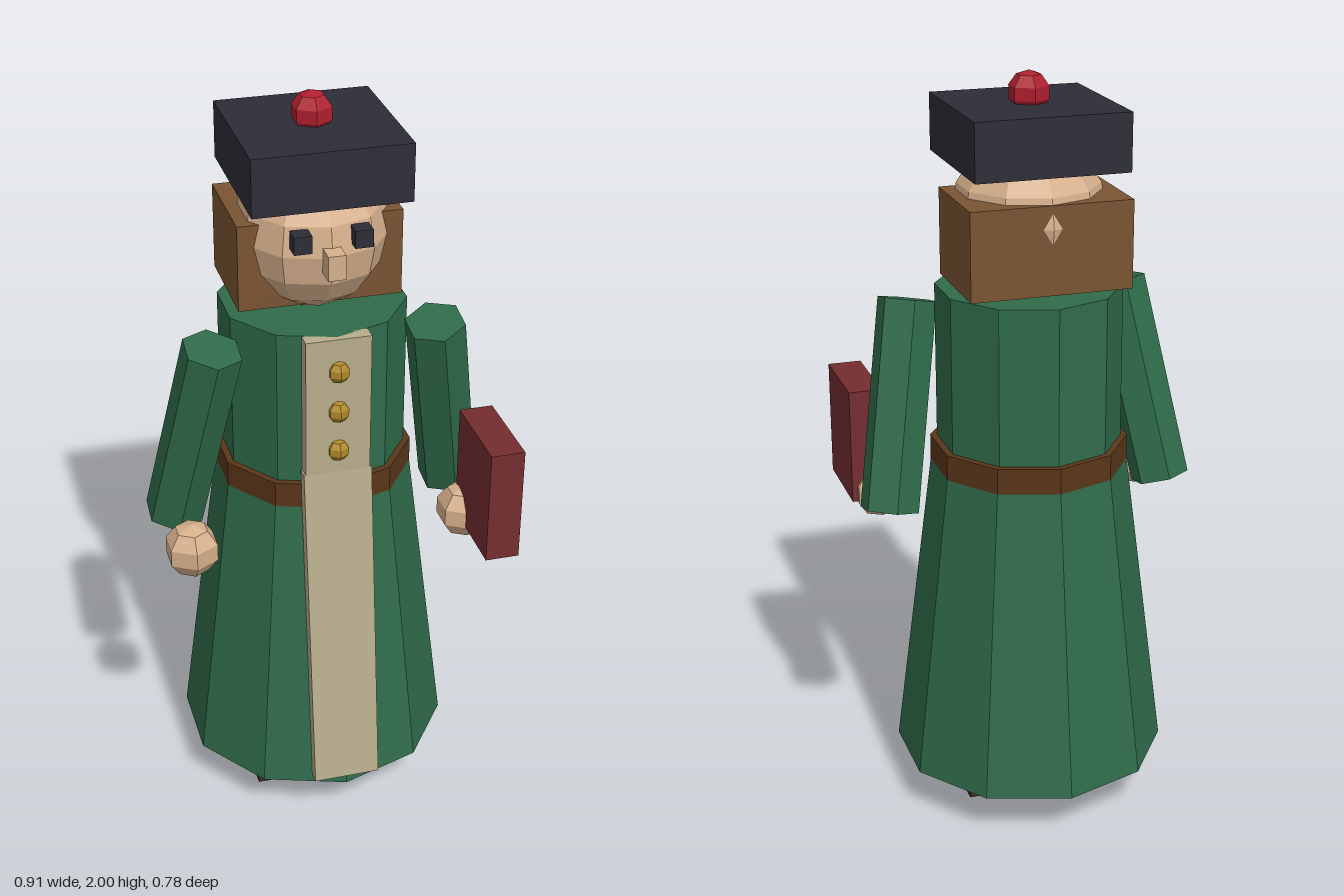
import * as THREE from 'three';

const mat = (name, color) => {
  const m = new THREE.MeshStandardMaterial({ color, flatShading: true });
  m.name = name;
  return m;
};

export function createModel() {
  const green = mat('green cloth', 0x2f6b4a);
  const cream = mat('cream trim', 0xb8ad8c);
  const beltBrown = mat('belt leather', 0x5a3619);
  const shoeBrown = mat('shoe leather', 0x3d2b22);
  const skin = mat('skin', 0xd6b08c);
  const hairBrown = mat('hair', 0x7a5432);
  const dark = mat('dark felt', 0x2d2d37);
  const red = mat('red knob', 0xb01e2e);
  const bookRed = mat('book cover', 0x752d30);
  const gold = mat('gold', 0xb08a26);

  const model = new THREE.Group();
  model.name = 'robedFigure';
  const AXIS = -0.02; // the body's centre line in z

  const add = (name, geometry, material, x, y, z) => {
    const mesh = new THREE.Mesh(geometry, material);
    mesh.name = name;
    mesh.position.set(x, y, z);
    model.add(mesh);
    return mesh;
  };
  const box = (name, material, w, h, d, x, y, z) =>
    add(name, new THREE.BoxGeometry(w, h, d), material, x, y, z);
  // Faceted ball with corners pointing to front and back
  const ball = (name, material, r, sides, rings, x, y, z) =>
    add(name, new THREE.SphereGeometry(r, sides, rings).rotateY(Math.PI / 2), material, x, y, z);
  // Ten-sided ring of the robe between two heights
  const tier = (name, material, rTop, rBottom, y0, y1) =>
    add(name, new THREE.CylinderGeometry(rTop, rBottom, y1 - y0, 10), material, 0, (y0 + y1) / 2, AXIS);

  // Robe
  tier('skirt', green, 0.258, 0.37, 0.12, 1.0);
  tier('torso', green, 0.245, 0.245, 0.96, 1.45);
  tier('belt', beltBrown, 0.263, 0.263, 0.95, 1.03);

  // Front trim and buttons
  box('upperPanel', cream, 0.17, 0.45, 0.04, 0, 1.225, 0.22);
  const lowerPanel = box('lowerPanel', cream, 0.18, 0.93, 0.035, 0, 0.607, 0.28);
  lowerPanel.rotation.x = -0.124;
  for (const y of [1.36, 1.247, 1.135]) ball('button', gold, 0.03, 6, 5, 0, y, 0.237);

  // Head, hair and hat
  ball('head', skin, 0.2, 10, 8, 0, 1.64, AXIS);
  box('nose', skin, 0.045, 0.065, 0.06, 0, 1.633, 0.19);
  box('hair', hairBrown, 0.426, 0.23, 0.28, 0, 1.585, -0.072);
  box('hat', dark, 0.404, 0.15, 0.404, 0, 1.845, AXIS + 0.002);
  ball('hatKnob', red, 0.055, 6, 5, 0, 1.945, AXIS);

  // Mirrored parts
  const up = new THREE.Vector3(0, 1, 0);
  for (const [side, s] of [['left', 1], ['right', -1]]) {
    box(side + 'Eye', dark, 0.046, 0.046, 0.045, s * 0.077, 1.688, 0.167);
    box(side + 'Shoe', shoeBrown, 0.156, 0.16, 0.272, s * 0.126, 0.08, 0.017);
    ball(side + 'Hand', skin, 0.075, 6, 5, s * 0.373, 0.848, 0.163);

    // Sleeve runs from the shoulder down, out and back
    const top = new THREE.Vector3(s * 0.292, 1.397, 0.112);
    const bottom = new THREE.Vector3(s * 0.385, 0.858, -0.011);
    const along = top.clone().sub(bottom);
    const mid = top.clone().add(bottom).multiplyScalar(0.5);
    const arm = add(side + 'Sleeve', new THREE.CylinderGeometry(0.08, 0.08, along.length(), 6),
      green, mid.x, mid.y, mid.z);
    arm.quaternion.setFromUnitVectors(up, along.normalize());
  }

  // Book by the left hand
  box('book', bookRed, 0.09, 0.315, 0.248, 0.405, 0.985, 0.264);

  return model;
}
